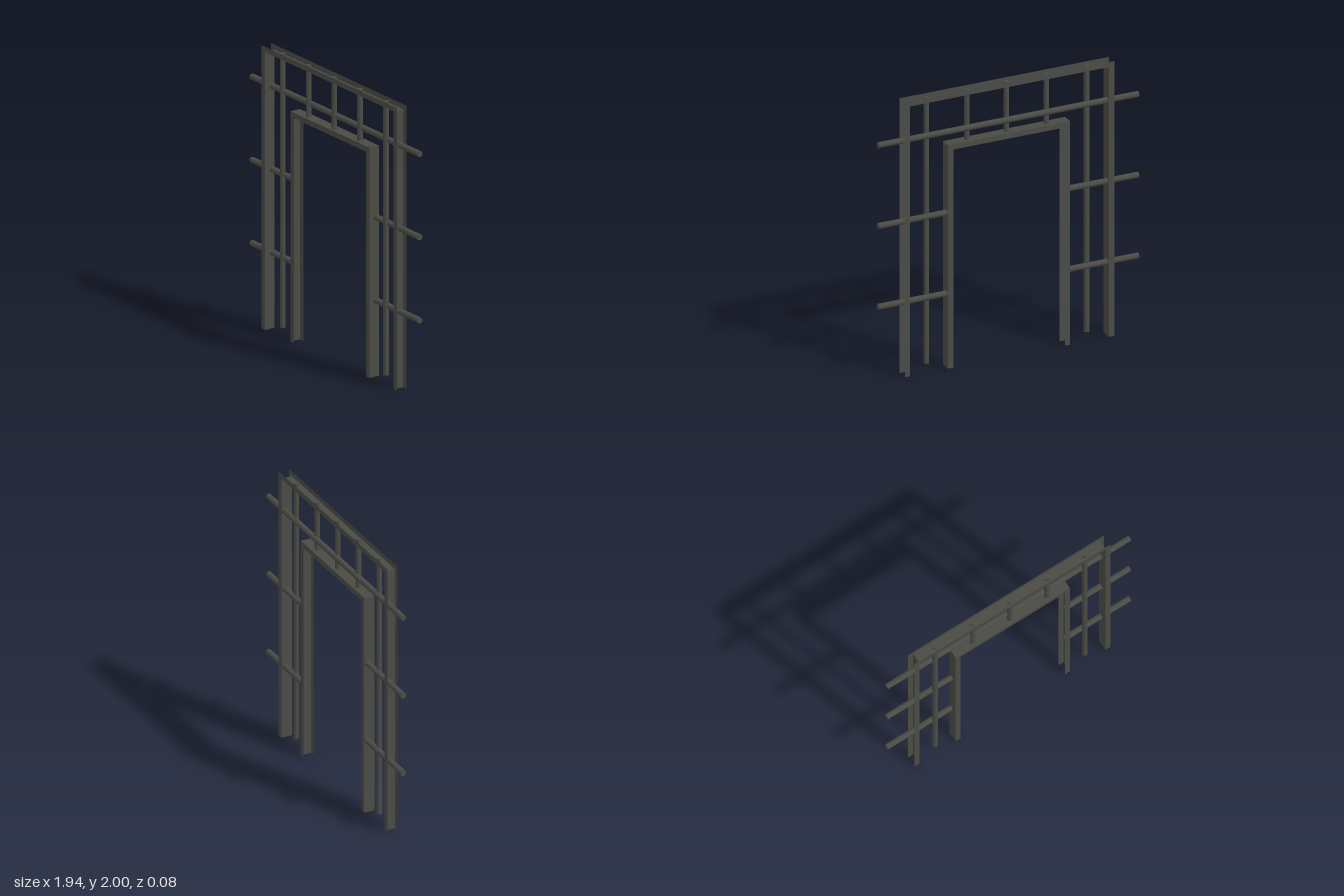
import * as THREE from 'three';

const steel = new THREE.MeshStandardMaterial({ color: 0x4b4b46, side: THREE.DoubleSide });

// Sheet-metal U-channel bent round an opening: a web strip and two flanges.
// web and lip are the half width and height of the arch lines at web and flange edge.
function channelFrame(name, web, lip, depth) {
  const frame = new THREE.Group();
  frame.name = name;

  const arch = ({ w, h }) => [[-w, 0], [-w, h], [w, h], [w, 0]].map(([x, y]) => new THREE.Vector2(x, y));
  const flangeGeometry = new THREE.ShapeGeometry(new THREE.Shape([...arch(web), ...arch(lip).reverse()]));
  for (const side of [1, -1]) {
    const flange = new THREE.Mesh(flangeGeometry, steel);
    flange.name = side > 0 ? 'frontFlange' : 'backFlange';
    flange.position.z = side * depth / 2;
    if (side < 0) flange.rotation.y = Math.PI;
    frame.add(flange);
  }

  const header = new THREE.Mesh(new THREE.PlaneGeometry(2 * web.w, depth), steel);
  header.name = 'headerWeb';
  header.rotation.x = -Math.PI / 2;
  header.position.y = web.h;
  frame.add(header);

  for (const side of [1, -1]) {
    const post = new THREE.Mesh(new THREE.PlaneGeometry(depth, web.h), steel);
    post.name = side > 0 ? 'leftPostWeb' : 'rightPostWeb';
    post.rotation.y = side * Math.PI / 2;
    post.position.set(side * web.w, web.h / 2, 0);
    frame.add(post);
  }
  return frame;
}

// Round bar between two points
function bar(name, from, to, radius) {
  const a = new THREE.Vector3(...from), b = new THREE.Vector3(...to);
  const mesh = new THREE.Mesh(new THREE.CylinderGeometry(radius, radius, a.distanceTo(b), 12), steel);
  mesh.name = name;
  mesh.position.lerpVectors(a, b, 0.5);
  mesh.quaternion.setFromUnitVectors(new THREE.Vector3(0, 1, 0), b.sub(a).normalize());
  return mesh;
}

export function createModel() {
  const model = new THREE.Group();
  model.name = 'doorFrame';

  // Outer channel opens outwards, inner channel opens towards the doorway
  model.add(channelFrame('outerFrame', { w: 0.74, h: 1.963 }, { w: 0.78, h: 2 }, 0.078));
  const inner = channelFrame('innerFrame', { w: 0.455, h: 1.627 }, { w: 0.415, h: 1.588 }, 0.078);
  inner.position.set(0.004, 0, -0.002);
  model.add(inner);

  // Upright bars: long ones beside the doorway, short ones over the header
  for (const x of [-0.592, 0.6]) model.add(bar('longUpright', [x, 0.055, 0], [x, 1.99, 0], 0.019));
  for (const x of [-0.292, 0.004, 0.3]) model.add(bar('shortUpright', [x, 1.61, 0], [x, 1.99, 0], 0.019));

  // Cross bars: one full width, two pairs stopping at the inner frame
  const z = -0.016, r = 0.021;
  model.add(bar('topCrossBar', [-0.968, 1.715, z], [0.968, 1.715, z], r));
  for (const y of [0.539, 1.127]) {
    for (const side of [1, -1]) {
      model.add(bar('sideCrossBar', [side * 0.968, y, z], [side * 0.445, y, z], r));
    }
  }
  return model;
}
